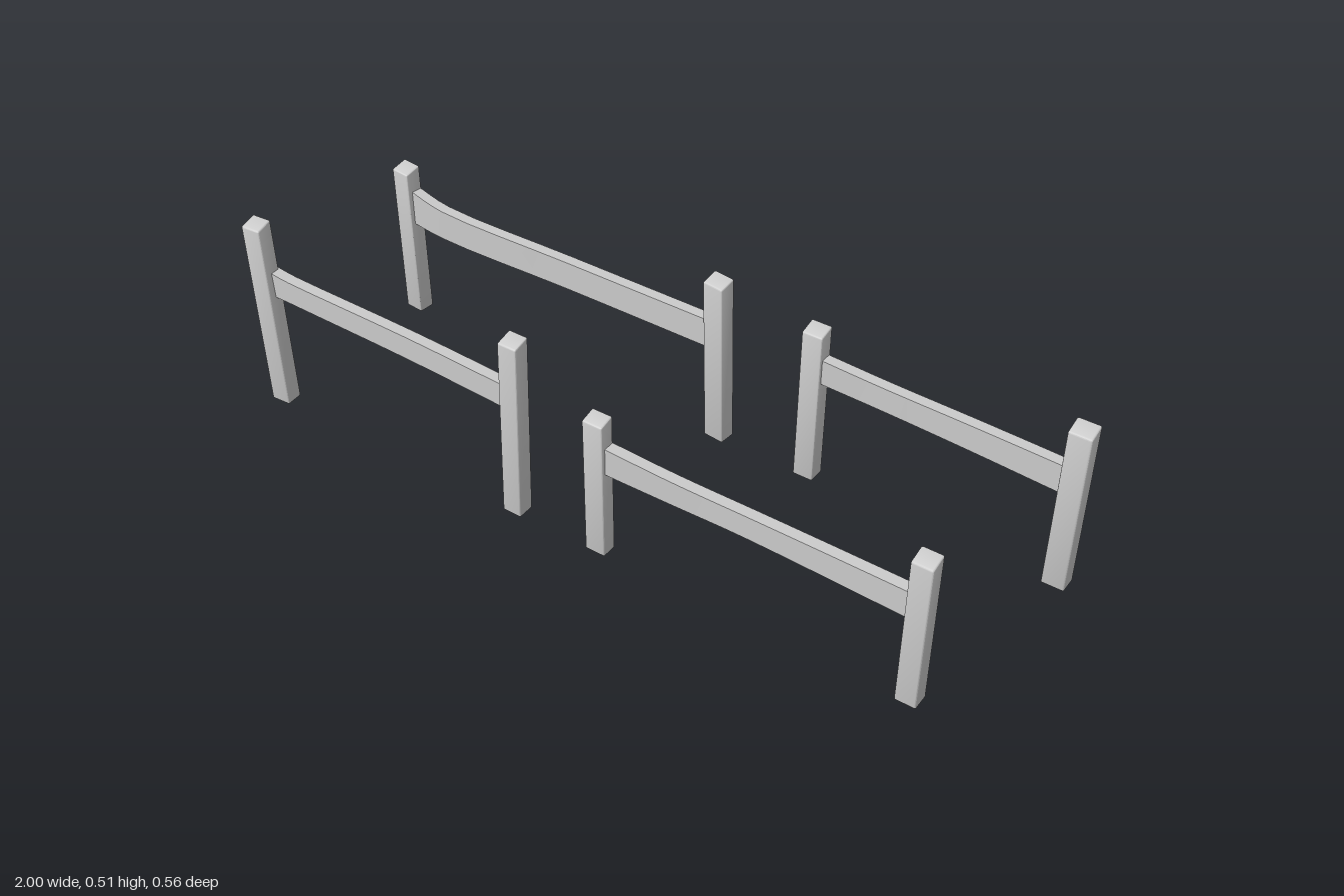
import * as THREE from 'three';
import { toCreasedNormals } from 'three/addons/utils/BufferGeometryUtils.js';
import { RoundedBoxGeometry } from 'three/addons/geometries/RoundedBoxGeometry.js';

const material = new THREE.MeshStandardMaterial({ color: 0xcccccc });

// Move every vertex of a geometry by a rule, then rebuild its normals
function reshape(geometry, rule) {
  const pos = geometry.attributes.position;
  const v = new THREE.Vector3();
  for (let i = 0; i < pos.count; i++) {
    rule(v.fromBufferAttribute(pos, i));
    pos.setXYZ(i, v.x, v.y, v.z);
  }
  return toCreasedNormals(geometry, 0.45);
}

// Leaning square post with softened edges and a top cut that rises towards -z
// foot, head: [x, z] centres of the two ends
function makePost({ foot, head, top, base = 0.005, width = 0.054, depth = 0.046, yaw = 0 }) {
  const height = top - base;
  const geometry = new RoundedBoxGeometry(width, height, depth, 2, 0.004);
  geometry.rotateY(yaw);
  const mesh = new THREE.Mesh(reshape(geometry, (v) => {
    const t = v.y / height + 0.5;
    v.x += THREE.MathUtils.lerp(foot[0], head[0], t);
    v.z += THREE.MathUtils.lerp(foot[1], head[1], t);
    const cut = t > 0.5 ? 0.24 * (v.z - head[1]) + 0.006 : 0;
    v.y = base + t * height - cut;
  }), material);
  mesh.name = 'post';
  return mesh;
}

// Slightly warped plank following a few points: [x, bottom y, top y, z]
function makeRail(points, thickness = 0.03) {
  const middle = new THREE.CatmullRomCurve3(
    points.map(([x, b, t, z]) => new THREE.Vector3(x, (b + t) / 2, z)));
  const heights = new THREE.SplineCurve(
    points.map(([x, b, t]) => new THREE.Vector2(x, t - b)));
  const geometry = new THREE.BoxGeometry(1, 1, thickness, 12, 1, 1);
  const mesh = new THREE.Mesh(reshape(geometry, (v) => {
    const t = THREE.MathUtils.clamp(v.x + 0.5, 0, 1);
    const p = middle.getPoint(t);
    v.set(p.x, p.y + v.y * heights.getPoint(t).y, p.z + v.z);
  }), material);
  mesh.name = 'rail';
  return mesh;
}

const fences = [
  {
    name: 'frontRightFence',
    posts: [
      { foot: [-0.938, 0.257], head: [-0.972, 0.243], top: 0.515, yaw: 0.06 },
      { foot: [-0.185, 0.257], head: [-0.174, 0.257], top: 0.509, width: 0.052 },
    ],
    rail: [[-0.96, 0.312, 0.382, 0.234], [-0.88, 0.312, 0.374, 0.234],
      [-0.5, 0.311, 0.374, 0.241], [-0.18, 0.307, 0.371, 0.252]],
  },
  {
    name: 'backRightFence',
    posts: [
      { foot: [-0.928, -0.254], head: [-0.934, -0.252], top: 0.444, yaw: -0.1 },
      { foot: [0.048, -0.257], head: [0.04, -0.247], top: 0.472, base: 0, width: 0.057, yaw: -0.1 },
    ],
    rail: [[-0.93, 0.283, 0.38, -0.258], [-0.8, 0.279, 0.362, -0.244],
      [-0.4, 0.277, 0.355, -0.248], [0.04, 0.268, 0.346, -0.255]],
  },
  {
    name: 'frontLeftFence',
    posts: [
      { foot: [0.056, 0.255], head: [0.054, 0.255], top: 0.392, depth: 0.042 },
      { foot: [0.867, 0.257], head: [0.867, 0.257], top: 0.412, width: 0.052 },
    ],
    rail: [[0.06, 0.245, 0.318, 0.251], [0.25, 0.24, 0.304, 0.245],
      [0.45, 0.239, 0.3, 0.242], [0.87, 0.235, 0.306, 0.252]],
  },
  {
    name: 'backLeftFence',
    posts: [
      { foot: [0.308, -0.252], head: [0.308, -0.252], top: 0.44 },
      { foot: [0.968, -0.249], head: [0.968, -0.247], top: 0.456, width: 0.057, depth: 0.048 },
    ],
    rail: [[0.31, 0.296, 0.363, -0.253], [0.5, 0.286, 0.35, -0.257],
      [0.72, 0.272, 0.341, -0.26], [0.97, 0.263, 0.338, -0.252]],
  },
];

export function createModel() {
  const model = new THREE.Group();
  model.name = 'fenceSet';
  for (const { name, posts, rail } of fences) {
    const fence = new THREE.Group();
    fence.name = name;
    posts.forEach((post) => fence.add(makePost(post)));
    fence.add(makeRail(rail));
    model.add(fence);
  }
  return model;
}
